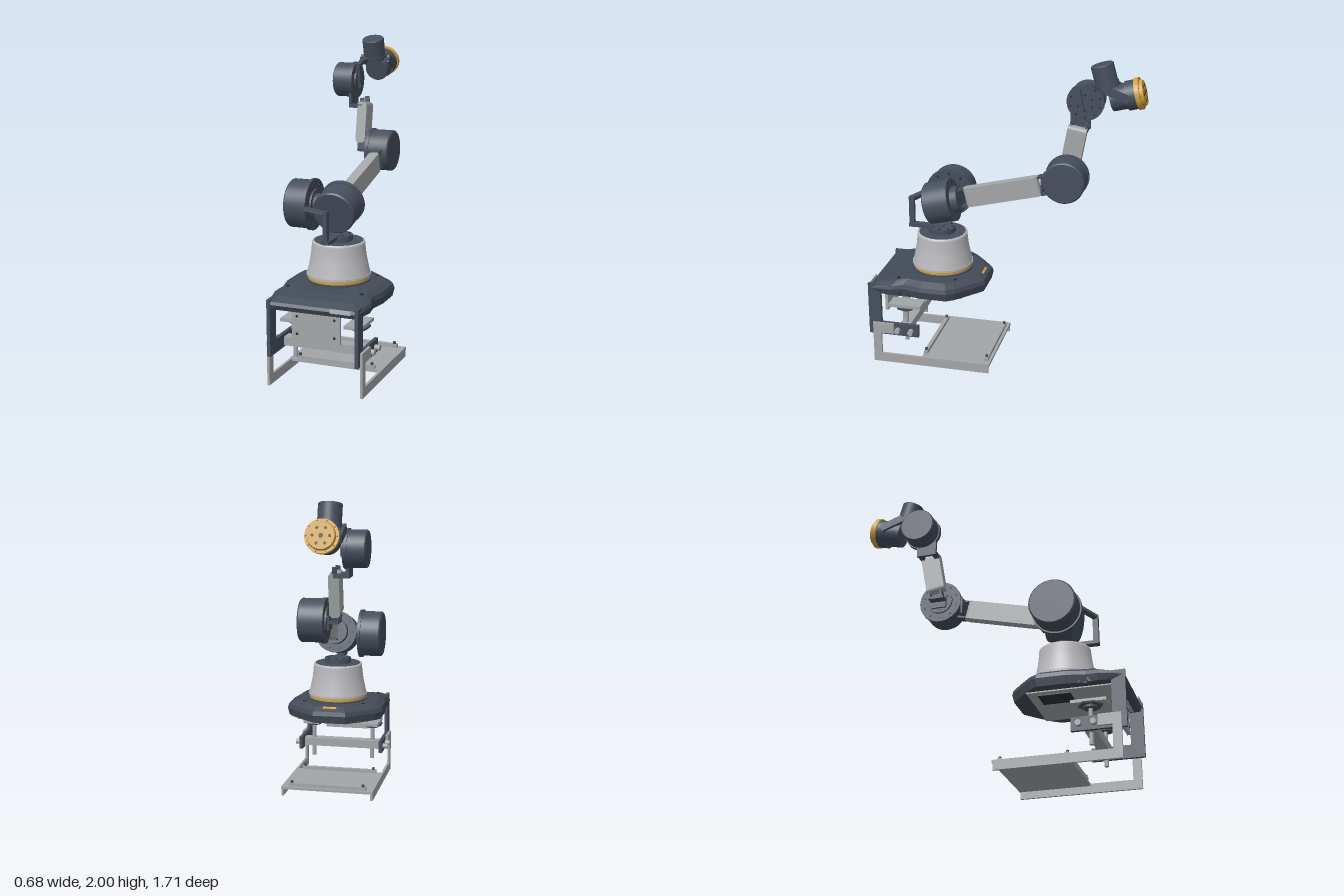
import * as THREE from 'three';

const mat = (name, color, side = THREE.FrontSide) => {
  const m = new THREE.MeshStandardMaterial({ color, side });
  m.name = name;
  return m;
};
const V = (x, y, z) => new THREE.Vector3(x, y, z);
const UP = V(0, 1, 0);
const CX = 0.0125; // centre line of the stand

export function createModel() {
  const slate = mat('slate', 0x464f5d);
  const slateFlat = mat('slateFacet', 0x434b58);
  slateFlat.flatShading = true;
  const grey = mat('aluminium', 0xa3a6a8);
  const pale = mat('paleGrey', 0xb9b9bd);
  const gold = mat('gold', 0xd0a040);
  const black = mat('boltBlack', 0x2b3038);

  const root = new THREE.Group();
  root.name = 'robotArm';
  const add = (name, geo, m, parent = root) => {
    const mesh = new THREE.Mesh(geo, m);
    mesh.name = name;
    parent.add(mesh);
    return mesh;
  };
  const box = (name, m, x0, x1, y0, y1, z0, z1) => {
    const b = add(name, new THREE.BoxGeometry(x1 - x0, y1 - y0, z1 - z0), m);
    b.position.set((x0 + x1) / 2, (y0 + y1) / 2, (z0 + z1) / 2);
    return b;
  };
  // Stretch any y-aligned mesh between two points
  const between = (mesh, a, b) => {
    mesh.position.copy(a).add(b).multiplyScalar(0.5);
    mesh.quaternion.setFromUnitVectors(UP, b.clone().sub(a).normalize());
    return mesh;
  };
  const rod = (name, m, a, b, r, seg = 24) =>
    between(add(name, new THREE.CylinderGeometry(r, r, a.distanceTo(b), seg), m), a, b);
  const bar = (name, m, a, b, w, t) =>
    between(add(name, new THREE.BoxGeometry(w, a.distanceTo(b), t), m), a, b);
  // Plate cut in the z-y plane, with thickness from x0 to x1
  const sidePlate = (name, m, pts, x0, x1) => {
    const g = new THREE.ExtrudeGeometry(new THREE.Shape(pts.map(p => new THREE.Vector2(...p))),
      { depth: x1 - x0, bevelEnabled: false });
    g.rotateY(-Math.PI / 2).translate(x1, 0, 0);
    return add(name, g, m);
  };
  const bolts = (parent, n, ring, r, y, m = black) => {
    for (let i = 0; i < n; i++) {
      const a = (i / n) * Math.PI * 2;
      add('bolt', new THREE.CylinderGeometry(r, r, 0.006, 10), m, parent)
        .position.set(Math.cos(a) * ring, y, Math.sin(a) * ring);
    }
  };
  // Joint motor: chamfered drum, then a wider bolted flange and a hub
  const motor = (name, back, dir, r, len, rf, lf) => {
    const g = new THREE.Group();
    g.name = name;
    g.position.copy(back);
    g.quaternion.setFromUnitVectors(UP, dir.clone().normalize());
    const c = r * 0.06;
    add('drum', new THREE.CylinderGeometry(r, r, len - c, 48, 1, true), slate, g).position.y = (len + c) / 2;
    add('drumChamfer', new THREE.CylinderGeometry(r, r - c, c, 48), slate, g).position.y = c / 2;
    add('flange', new THREE.CylinderGeometry(rf, rf, lf, 48), slate, g).position.y = len + lf / 2;
    add('hub', new THREE.CylinderGeometry(rf * 0.6, rf * 0.6, 0.012, 32), slate, g).position.y = len + lf + 0.006;
    bolts(g, 10, rf * 0.82, rf * 0.055, len + lf);
    bolts(g, 6, rf * 0.42, rf * 0.06, len + lf + 0.012);
    root.add(g);
    return g;
  };
  // Link with rounded ends
  const link = (name, a, b, w, h) => {
    const L = a.distanceTo(b) / 2, x = w / 2, k = w * 0.4;
    const s = new THREE.Shape();
    s.moveTo(-x + k, -L).lineTo(x - k, -L).quadraticCurveTo(x, -L, x, -L + k).lineTo(x, L - k)
      .quadraticCurveTo(x, L, x - k, L).lineTo(-x + k, L).quadraticCurveTo(-x, L, -x, L - k)
      .lineTo(-x, -L + k).quadraticCurveTo(-x, -L, -x + k, -L);
    const g = new THREE.ExtrudeGeometry(s, { depth: h, bevelEnabled: false, curveSegments: 6 });
    return between(add(name, g.translate(0, 0, -h / 2), grey), a, b);
  };

  // Stand: light side frames, dark C brackets and their screws
  const frame = [[0.05, 0], [0.825, 0], [0.825, 0.28], [0.685, 0.28], [0.685, 0.21], [0.77, 0.21], [0.77, 0.06], [0.05, 0.06]];
  const cee = [[0.51, 0.49], [0.77, 0.49], [0.77, 0.28], [0.52, 0.28], [0.52, 0.195], [0.855, 0.195], [0.855, 0.55], [0.51, 0.55]];
  for (const s of [-1, 1]) {
    const span = (a, b) => (s > 0 ? [CX + a, CX + b] : [CX - b, CX - a]);
    sidePlate('sideFrame', grey, frame, ...span(0.292, 0.308));
    sidePlate('sideBracket', slate, cee, ...span(0.27, 0.292));
    for (const [z, y] of [[0.57, 0.235], [0.66, 0.235], [0.57, 0.51], [0.645, 0.51], [0.72, 0.51]])
      rod('screw', y < 0.4 ? grey : black, V(CX + s * 0.28, y, z), V(CX + s * (y < 0.4 ? 0.325 : 0.3), y, z), 0.018, 16);
    // Clamp screw with its disc and pressure plate
    const x = CX + s * 0.207;
    rod('clampScrew', grey, V(x, 0.13, 0.625), V(x, 0.38, 0.625), 0.014, 16);
    rod('clampDisc', slate, V(x, 0.355, 0.625), V(x, 0.38, 0.625), 0.045, 24);
    rod('clampDiscTop', slate, V(x, 0.37, 0.625), V(x, 0.382, 0.625), 0.075, 6);
    box('clampPlate', grey, x - 0.055, x + 0.055, 0.382, 0.402, 0.515, 0.73);
  }
  box('crossbar', grey, CX - 0.27, CX + 0.27, 0.205, 0.26, 0.59, 0.66);
  box('floorPlate', grey, CX - 0.308, CX + 0.308, 0.045, 0.062, 0.045, 0.5);
  for (const z of [0.075, 0.485]) {
    box('floorRail', grey, CX - 0.26, CX + 0.26, 0.062, 0.085, z - 0.012, z + 0.012);
    for (const s of [-1, 1]) rod('railPin', slate, V(CX + s * 0.24, 0.08, z), V(CX + s * 0.24, 0.1, z), 0.009, 12);
  }
  box('controlPlate', grey, -0.145, 0.165, 0.3, 0.5, 0.77, 0.79);
  for (const x of [-0.11, 0.13]) for (const y of [0.34, 0.45])
    rod('plateScrew', black, V(x, y, 0.785), V(x, y, 0.794), 0.008, 10);

  // Faceted base housing, lofted from scaled copies of one outline
  const half = [[0.11, 0.115], [0.19, 0.18], [0.29, 0.27], [0.325, 0.32], [0.325, 0.5], [0.3, 0.62], [0.318, 0.7], [0.29, 0.852]];
  const outline = [...half, ...half.map(([x, z]) => [-x, z]).reverse()];
  const rings = [[0, 0], [0.965, 0], [1, 0.05], [0.975, 0.078], [0.84, 0.105], [0.6, 0.11], [0, 0.11]];
  const pos = [], idx = [], n = outline.length;
  for (const [s, h] of rings) for (const [x, z] of outline) {
    const wz = 0.45 + (z - 0.45) * s;
    const drop = THREE.MathUtils.clamp((wz - 0.6) / 0.25, 0, 1);
    pos.push(CX + x * s, 0.49 + h * (1 - 0.4 * drop), wz);
  }
  for (let r = 0; r < rings.length - 1; r++) for (let i = 0; i < n; i++) {
    const a = r * n + i, b = r * n + (i + 1) % n;
    idx.push(a, a + n, b, b, a + n, b + n);
  }
  const shell = new THREE.BufferGeometry();
  shell.setAttribute('position', new THREE.Float32BufferAttribute(pos, 3));
  shell.setIndex(idx);
  shell.computeVertexNormals();
  add('baseHousing', shell, slateFlat);
  box('undersidePlate', grey, CX - 0.24, CX + 0.24, 0.482, 0.49, 0.24, 0.8);
  box('undersideVent', black, CX - 0.2, CX - 0.05, 0.476, 0.482, 0.3, 0.5);
  box('frontPort', pale, 0.13, 0.26, 0.515, 0.54, 0.852, 0.858);
  box('statusLight', gold, CX - 0.045, CX + 0.045, 0.584, 0.592, 0.142, 0.158).rotation.x = -0.6;
  for (const s of [-1, 1]) for (const [x, z] of [[0.2, 0.29], [0.24, 0.66]])
    rod('housingScrew', black, V(CX + s * x, 0.57, z), V(CX + s * x, z > 0.5 ? 0.593 : 0.6, z), 0.012, 12);

  // Turntable: gold ring, tapered column and shaft
  const axis = (name, m, y0, y1, r) => rod(name, m, V(CX, y0, 0.43), V(CX, y1, 0.43), r, 56);
  axis('turntableFlange', slate, 0.585, 0.608, 0.2);
  axis('goldRing', gold, 0.608, 0.628, 0.19);
  axis('columnRim', pale, 0.628, 0.642, 0.198);
  const profile = new THREE.SplineCurve([[0.194, 0.64], [0.183, 0.69], [0.17, 0.76], [0.162, 0.84]]
    .map(p => new THREE.Vector2(...p))).getPoints(14);
  profile.push(new THREE.Vector2(0.15, 0.843));
  add('column', new THREE.LatheGeometry(profile, 56), pale).position.set(CX, 0, 0.43);
  axis('columnCap', slate, 0.83, 0.845, 0.15);
  axis('turnShaft', slate, 0.84, 0.878, 0.088);
  const shaftBolts = new THREE.Group();
  shaftBolts.name = 'shaftBolts';
  shaftBolts.position.set(CX, 0.878, 0.43);
  bolts(shaftBolts, 8, 0.07, 0.008, 0);
  root.add(shaftBolts);

  // Shoulder bracket and motors
  bar('shoulderFoot', slate, V(CX, 0.872, 0.42), V(CX, 0.872, 0.65), 0.05, 0.022);
  box('shoulderPost', slate, CX - 0.012, CX + 0.014, 0.862, 1.065, 0.615, 0.65);
  bar('shoulderArm', slate, V(CX, 1.05, 0.635), V(-0.155, 1.05, 0.565), 0.03, 0.03);
  motor('shoulderMotor', V(-0.295, 1.05, 0.425), V(1, 0, 0), 0.15, 0.13, 0.16, 0.02);
  rod('shoulderRotor', slate, V(-0.15, 1.05, 0.425), V(-0.09, 1.05, 0.425), 0.07);
  const d1 = V(0, 0.245, -0.97).normalize();
  motor('upperArmMotor', V(CX, 1.025, 0.52), d1, 0.135, 0.145, 0.14, 0.03);
  rod('upperArmNeck', slate, V(CX, 1.068, 0.35), V(CX, 1.08, 0.305), 0.085);

  // Upper arm, its end brackets and the elbow
  const a0 = V(0.01, 1.093, 0.27), a1 = V(0.01, 1.214, -0.215);
  link('upperArm', a0, a1, 0.066, 0.126);
  for (const s of [-1, 1]) {
    const off = V(0, s * 0.055, s * 0.014);
    bar('armRootBracket', slate, a0.clone().add(off), a0.clone().add(off).addScaledVector(d1, -0.07), 0.05, 0.012);
    bar('elbowBracket', slate, a1.clone().add(off), a1.clone().add(off).addScaledVector(d1, 0.07), 0.06, 0.012);
  }
  bar('elbowBracketPlate', slate, V(-0.075, 1.222, -0.232), V(0.04, 1.222, -0.232), 0.11, 0.012);
  motor('elbowMotor', V(0.08, 1.262, -0.376), V(-1, 0, 0), 0.134, 0.135, 0.14, 0.025);

  // Forearm and wrist
  box('forearmFoot', slate, -0.16, -0.08, 1.25, 1.268, -0.43, -0.33);
  box('forearmFootPlate', slate, -0.105, -0.085, 1.21, 1.3, -0.43, -0.33);
  for (const z of [-0.42, -0.34]) bar('forearmFootRod', slate, V(-0.14, 1.255, z), V(-0.14, 1.33, z - 0.012), 0.05, 0.012);
  link('forearm', V(-0.14, 1.3, -0.378), V(-0.14, 1.57, -0.425), 0.066, 0.122);
  for (const z of [-0.375, -0.47]) {
    bar('wristBracketRod', slate, V(-0.14, 1.53, z), V(-0.15, 1.6, z - 0.012), 0.03, 0.01);
    box('wristBracketFoot', slate, -0.235, -0.14, 1.535, 1.56, z - 0.015, z + 0.015);
  }
  box('wristBracketPlate', slate, -0.235, -0.215, 1.535, 1.63, -0.49, -0.36);
  motor('wristMotor', V(-0.345, 1.71, -0.455), V(1, 0, 0), 0.113, 0.11, 0.12, 0.028);
  const arm = [V(-0.188, 1.66, -0.44), V(-0.188, 1.81, -0.41), V(-0.188, 1.835, -0.5), V(-0.15, 1.84, -0.6)];
  for (let i = 0; i < 3; i++) bar('wristArm', slate, arm[i], arm[i + 1], 0.03, 0.025);
  motor('wristRollMotor', V(-0.14, 1.98, -0.563), V(0, -0.962, -0.274), 0.072, 0.115, 0.077, 0.03);

  // Yoke, tool motor and gold tool flange
  bar('yokeBridge', slate, V(-0.24, 1.84, -0.605), V(-0.04, 1.84, -0.605), 0.02, 0.05);
  for (const s of [-1, 1]) {
    const x = -0.14 + s * 0.094;
    bar('yokeSide', slate, V(x, 1.845, -0.6), V(x, 1.79, -0.75), 0.018, 0.05);
  }
  const d3 = V(0, 0.26, -0.966).normalize();
  const tool = motor('toolMotor', V(-0.14, 1.765, -0.63), d3, 0.079, 0.1, 0.092, 0.062);
  add('toolFlange', new THREE.CylinderGeometry(0.1, 0.1, 0.028, 48), gold, tool).position.y = 0.176;
  add('toolFace', new THREE.CylinderGeometry(0.078, 0.084, 0.022, 48), gold, tool).position.y = 0.2;
  bolts(tool, 6, 0.05, 0.009, 0.21);
  bolts(tool, 10, 0.091, 0.004, 0.19);
  bolts(tool, 1, 0, 0.014, 0.21);
  return root;
}
